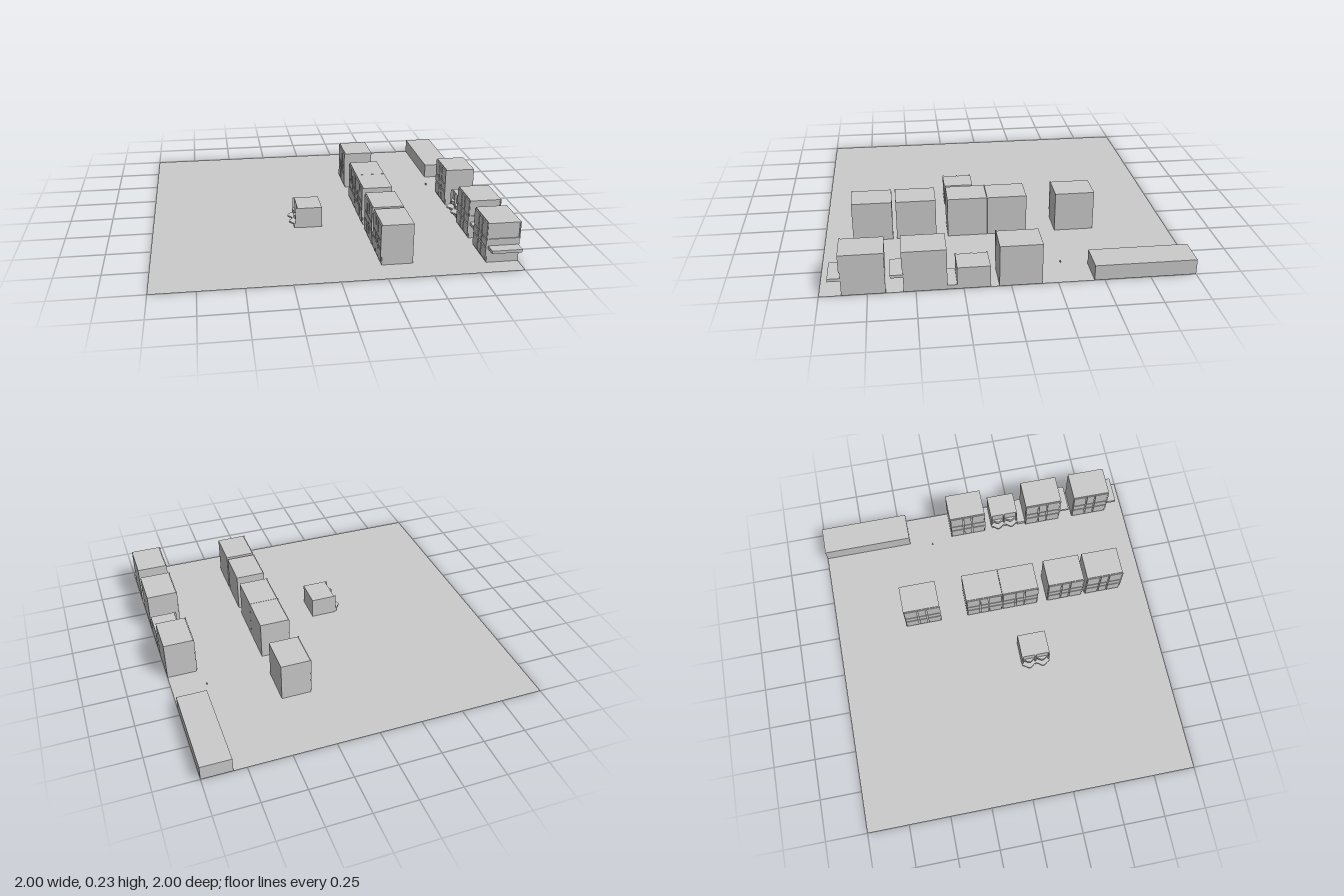
import * as THREE from 'three';

const mat = new THREE.MeshStandardMaterial({ color: 0xcccccc, flatShading: true, side: THREE.DoubleSide });

// Box given by its minimum and maximum corners
function box(parent, name, x0, x1, y0, y1, z0, z1) {
  const m = new THREE.Mesh(new THREE.BoxGeometry(x1 - x0, y1 - y0, z1 - z0), mat);
  m.position.set((x0 + x1) / 2, (y0 + y1) / 2, (z0 + z1) / 2);
  m.name = name;
  parent.add(m);
  return m;
}

// Tall cabinet with raised doors facing -x; x is its door plane, z its rear end
function cabinet(name, x, x1, z) {
  const g = new THREE.Group();
  g.name = name;
  const H = 0.235, W = 0.228, face = x + 0.008;
  box(g, 'body', face, x1, 0.001, H, z, z + W);
  const columns = [[0.004, 0.082], [0.09, 0.138], [0.146, 0.224]];
  const rows = [[0.012, 0.082], [0.09, 0.132], [0.139, 0.229]];
  for (const [a, b] of columns)
    for (const [lo, hi] of rows) box(g, 'doorPanel', x + 0.002, face, lo, hi, z + a, z + b);
  // Slim upright at the front end
  box(g, 'doorEdge', x, face, 0.05, H, z + W - 0.004, z + W + 0.002);
  return g;
}

// Cabinet with an inset panel and a projecting ledge on its +z end
function ledgeCabinet(z) {
  const g = cabinet('ledgeCabinet', 0.812, 1, z);
  const end = z + 0.228;
  box(g, 'ledge', 0.825, 0.995, 0.083, 0.1, end - 0.004, end + 0.067);
  const s = new THREE.Shape();
  s.moveTo(0.815, 0.135).lineTo(1, 0.135).lineTo(1, 0.235).lineTo(0.815, 0.235).closePath();
  const hole = new THREE.Path();
  hole.moveTo(0.825, 0.142).lineTo(0.825, 0.228).lineTo(0.994, 0.228).lineTo(0.994, 0.142).closePath();
  s.holes.push(hole);
  const frame = new THREE.Mesh(new THREE.ExtrudeGeometry(s, { depth: 0.006, bevelEnabled: false }), mat);
  frame.position.z = end;
  frame.name = 'endFrame';
  g.add(frame);
  return g;
}

// Plate with a scalloped -x edge, spanning z0..z1
function wavyPlate(parent, name, mid, amp, xBack, y0, y1, z0, z1) {
  const s = new THREE.Shape();
  s.moveTo(xBack, -z0);
  const n = 32;
  for (let i = 0; i <= n; i++) {
    const t = i / n;
    s.lineTo(mid + amp * Math.cos(t * Math.PI * 4), -(z0 + (z1 - z0) * t));
  }
  s.lineTo(xBack, -z1);
  s.closePath();
  const m = new THREE.Mesh(new THREE.ExtrudeGeometry(s, { depth: y1 - y0, bevelEnabled: false }), mat);
  m.rotation.x = -Math.PI / 2;
  m.position.y = y0;
  m.name = name;
  parent.add(m);
}

// Low unit with a scalloped shelf; its back is at x
function lowUnit(x) {
  const g = new THREE.Group();
  g.name = 'lowUnit';
  g.position.x = x;
  box(g, 'body', -0.145, 0, 0.001, 0.125, 0.11, 0.285);
  box(g, 'base', -0.165, -0.14, 0.001, 0.022, 0.115, 0.28);
  wavyPlate(g, 'shelf', -0.18, 0.012, -0.14, 0.022, 0.031, 0.11, 0.285);
  wavyPlate(g, 'upperShelf', -0.156, 0.009, -0.14, 0.048, 0.07, 0.115, 0.28);
  for (const z of [0.11, 0.192, 0.277]) box(g, 'upright', -0.157, -0.14, 0.022, 0.125, z, z + 0.008);
  return g;
}

export function createModel() {
  const root = new THREE.Group();
  root.name = 'room';

  // Floor
  const floor = new THREE.Mesh(new THREE.PlaneGeometry(2, 2), mat);
  floor.rotation.x = -Math.PI / 2;
  floor.name = 'floor';
  root.add(floor);

  // Middle row and wall cabinet
  for (const z of [-0.563, -0.165, 0.065, 0.36, 0.61]) root.add(cabinet('cabinet', 0.24, 0.422, z));
  root.add(cabinet('wallCabinet', 0.818, 1, -0.165));

  // Cabinets with ledges
  root.add(ledgeCabinet(0.336), ledgeCabinet(0.656));

  // Low scalloped units
  root.add(lowUnit(0), lowUnit(1));

  // Counter, low plinth and small floor stop
  box(root, 'counter', 0.825, 1, 0.001, 0.088, -1, -0.445);
  box(root, 'plinth', 0.83, 1, 0.001, 0.025, 0.285, 0.336);
  box(root, 'floorStop', 0.792, 0.799, 0.001, 0.012, -0.303, -0.296);
  return root;
}
